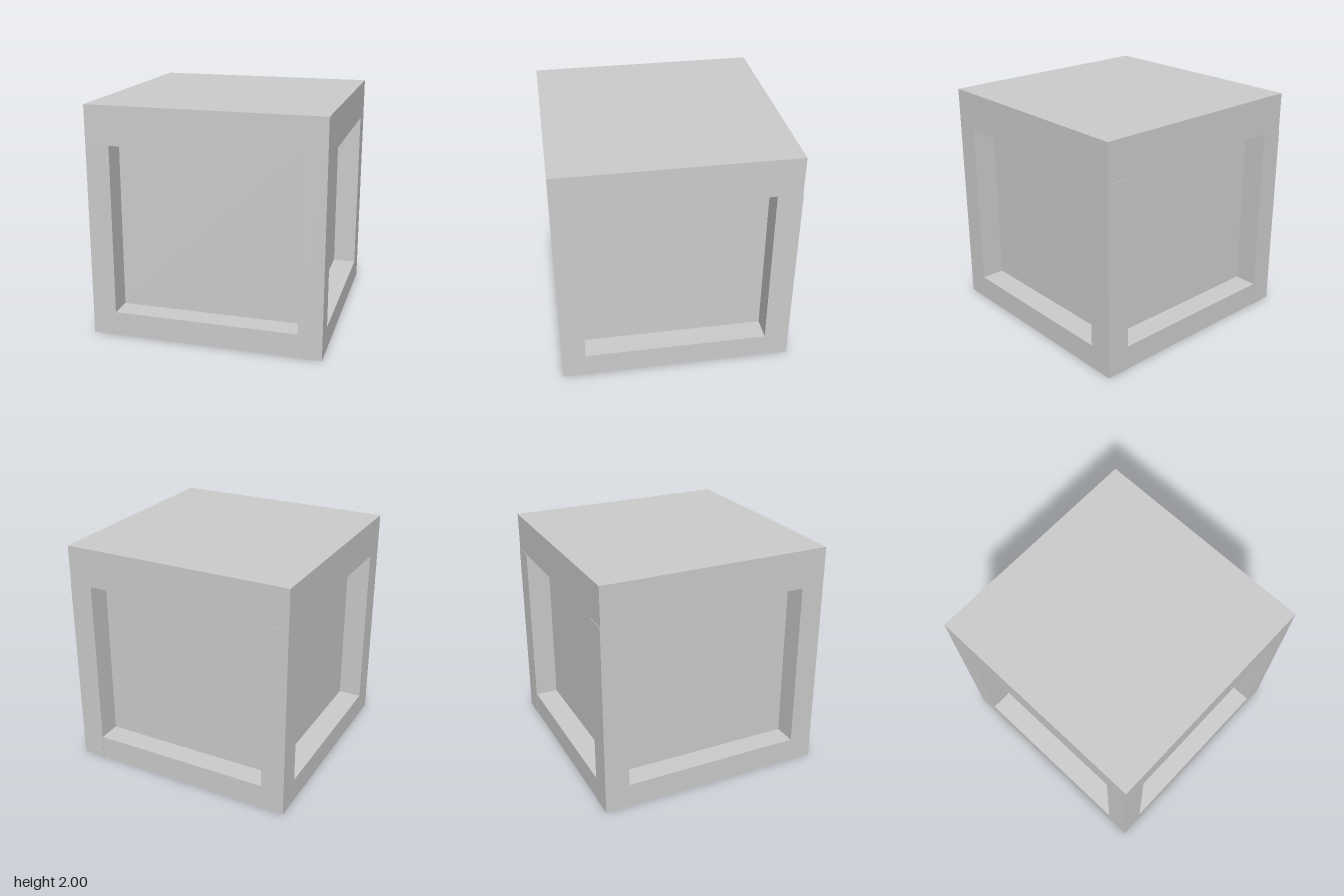
import * as THREE from 'three';

export function createModel() {
  const model = new THREE.Group();
  const grey = new THREE.MeshStandardMaterial({ color: 0xcccccc });
  grey.name = 'light grey';

  // Box given by its minimum and maximum corners
  function addBox(name, [x0, y0, z0], [x1, y1, z1]) {
    const mesh = new THREE.Mesh(new THREE.BoxGeometry(x1 - x0, y1 - y0, z1 - z0), grey);
    mesh.name = name;
    mesh.position.set((x0 + x1) / 2, (y0 + y1) / 2, (z0 + z1) / 2);
    model.add(mesh);
  }

  const inner = 0.795;   // half width of the recessed core
  const sill = 0.21;     // top of the lower rails
  const head = 1.67;     // underside of the top slab
  const back = -0.996;   // slab and rear rail sit just inside the rear posts

  // Recessed panels on the sides and the underside
  addBox('core', [-inner, sill, -inner], [inner, head, inner]);

  // Thick lid
  addBox('topSlab', [-1, head, back], [1, 2, 1]);

  // Corner posts and side rails, mirrored
  for (const side of [-1, 1]) {
    const [x0, x1] = side < 0 ? [-1, -inner] : [inner, 1];
    const label = side < 0 ? 'right' : 'left';
    addBox(label + 'FrontPost', [x0, 0, inner], [x1, head, 1]);
    addBox(label + 'BackPost', [x0, 0, -1], [x1, head, -0.787]);
    addBox(label + 'Rail', [x0, 0, -0.787], [x1, sill, inner]);
  }

  // Lower rails at front and back
  addBox('frontRail', [-inner, 0, inner], [inner, sill, 1]);
  addBox('backRail', [-inner, 0, back], [inner, sill, -inner]);

  return model;
}
